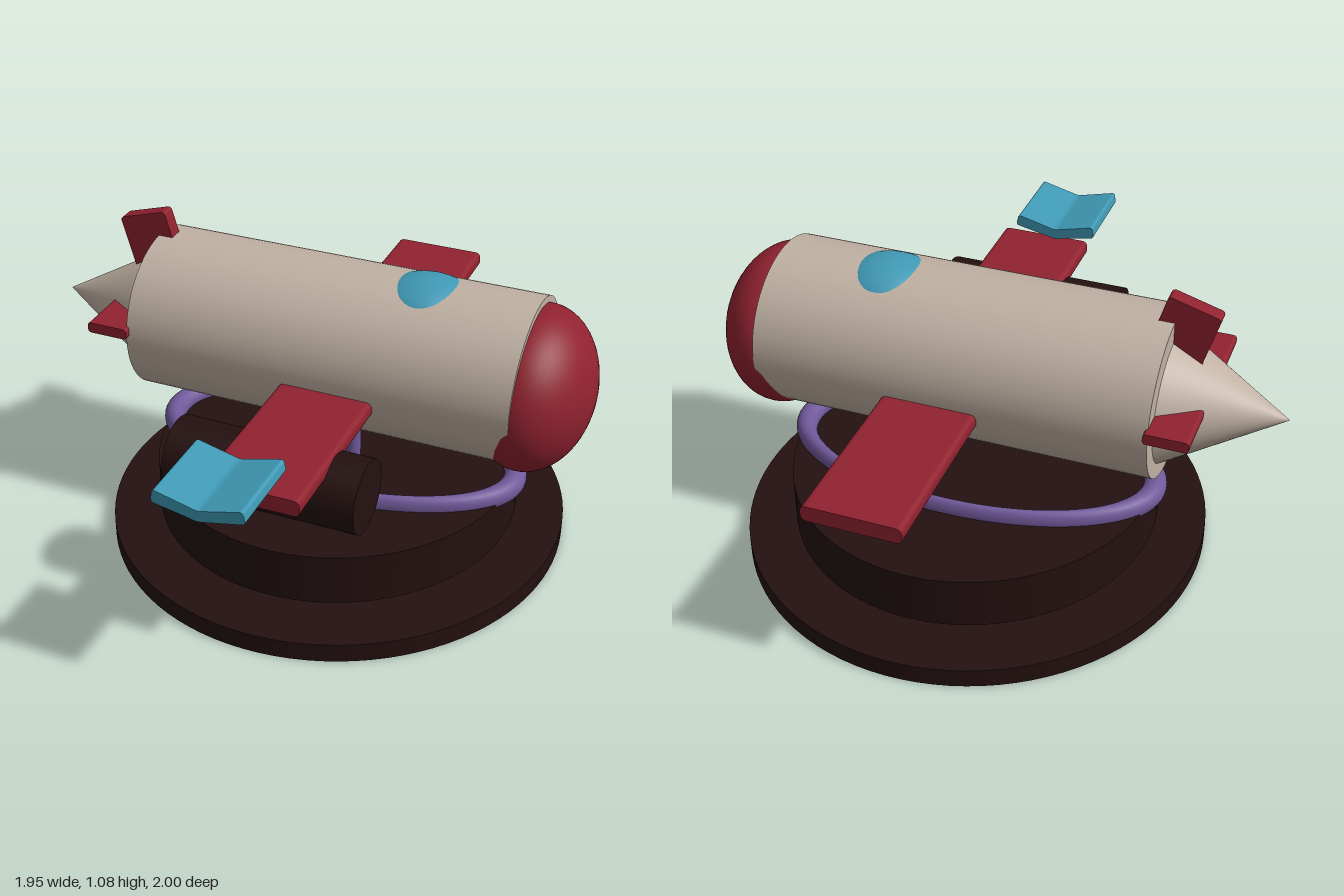
import * as THREE from 'three';

export function createModel() {
  const model = new THREE.Group();
  model.name = 'rocketRide';

  const mat = (name, color) => {
    const m = new THREE.MeshStandardMaterial({ color });
    m.name = name;
    return m;
  };
  const cream = mat('cream', 0xc0b1a3);
  const red = mat('red', 0x90222f);
  const dark = mat('darkBrown', 0x241010);
  const blue = mat('blue', 0x409ab6);
  const purple = mat('purple', 0x70599a);

  const X = 0.085, Z = -0.115; // shared centre line of stand and rocket

  const add = (name, geo, material, x, y, z) => {
    const mesh = new THREE.Mesh(geo, material);
    mesh.name = name;
    mesh.position.set(x, y, z);
    model.add(mesh);
    return mesh;
  };

  // Elliptical cylinder or cone lying along x; its "top" points to -x
  const lying = (name, material, topR, x0, x1, y, z, ry, rz) => {
    const mesh = add(name, new THREE.CylinderGeometry(topR, 1, 1, 64), material, (x0 + x1) / 2, y, z);
    mesh.rotation.z = Math.PI / 2;
    mesh.scale.set(ry, x1 - x0, rz);
    return mesh;
  };

  const ellipsoid = (name, material, x, y, z, rx, ry, rz) =>
    add(name, new THREE.SphereGeometry(1, 48, 32), material, x, y, z).scale.set(rx, ry, rz);

  // Flat plate with softly rounded profile corners, extruded along z and centred
  const plate = (points, r, depth) => {
    const v = points.map(([x, y]) => new THREE.Vector2(x, y));
    const s = new THREE.Shape();
    v.forEach((p, i) => {
      const a = v[(i + v.length - 1) % v.length], b = v[(i + 1) % v.length];
      const from = p.clone().add(a.clone().sub(p).setLength(r));
      const to = p.clone().add(b.clone().sub(p).setLength(r));
      if (i === 0) s.moveTo(from.x, from.y);
      else s.lineTo(from.x, from.y);
      s.quadraticCurveTo(p.x, p.y, to.x, to.y);
    });
    s.closePath();
    return new THREE.ExtrudeGeometry(s, { depth, bevelEnabled: false, curveSegments: 6 })
      .translate(0, 0, -depth / 2);
  };
  const slab = (w, h, r, depth) =>
    plate([[-w / 2, -h / 2], [w / 2, -h / 2], [w / 2, h / 2], [-w / 2, h / 2]], r, depth);

  // Stand: wide disc and smaller drum above it
  for (const [name, rx, rz, y0, y1] of [
    ['baseDisc', 0.807, 0.838, 0, 0.068],
    ['baseDrum', 0.638, 0.67, 0.104, 0.288],
  ]) {
    add(name, new THREE.CylinderGeometry(1, 1, 1, 96), dark, X, (y0 + y1) / 2, Z)
      .scale.set(rx, y1 - y0, rz);
  }

  // Oval rail around the drum top
  const rail = add('ovalRail', new THREE.TorusGeometry(0.64, 0.04, 20, 96), purple, X + 0.003, 0.296, Z + 0.002);
  rail.rotation.x = Math.PI / 2;
  rail.scale.y = 0.512;

  // Support posts with round feet
  for (const x of [-0.05, 0.222]) {
    add('supportPost', new THREE.CylinderGeometry(0.028, 0.028, 0.47, 24), purple, x, 0.425, 0.117);
    lying('postFoot', dark, 1, x - 0.028, x + 0.028, 0.155, 0.117, 0.087, 0.087);
  }

  // Rocket body, tail cone and rounded nose
  lying('body', cream, 1, -0.59, 0.766, 0.714, Z, 0.282, 0.294);
  lying('tailCone', cream, 0, -0.977, -0.588, 0.699, Z, 0.222, 0.23);
  ellipsoid('nose', red, 0.77, 0.69, Z, 0.205, 0.281, 0.292);

  // Bubble window
  ellipsoid('window', blue, 0.386, 0.91, Z - 0.002, 0.175, 0.102, 0.158);

  // Main wing running straight through the body
  add('mainWing', slab(0.33, 0.056, 0.022, 1.77), red, 0.142, 0.651, -0.115);

  // Tail fins
  add('tailPlane', slab(0.148, 0.038, 0.014, 0.632), red, -0.653, 0.749, -0.117);
  const fin = add('topFin', slab(0.18, 0.25, 0.015, 0.053), red, -0.616, 0.942, Z);
  fin.rotation.z = 0.285;

  // Side engine
  lying('sideEngine', dark, 1, -0.24, 0.416, 0.543, 0.487, 0.123, 0.125);

  // Bent blue panel
  add('bentPanel', plate([
    [-0.064, 0.732], [0.045, 0.711], [0.085, 0.702], [0.13, 0.711], [0.24, 0.735],
    [0.232, 0.777], [0.088, 0.74], [-0.058, 0.777],
  ], 0.012, 0.289), blue, 0, 0, 0.8555);

  return model;
}
